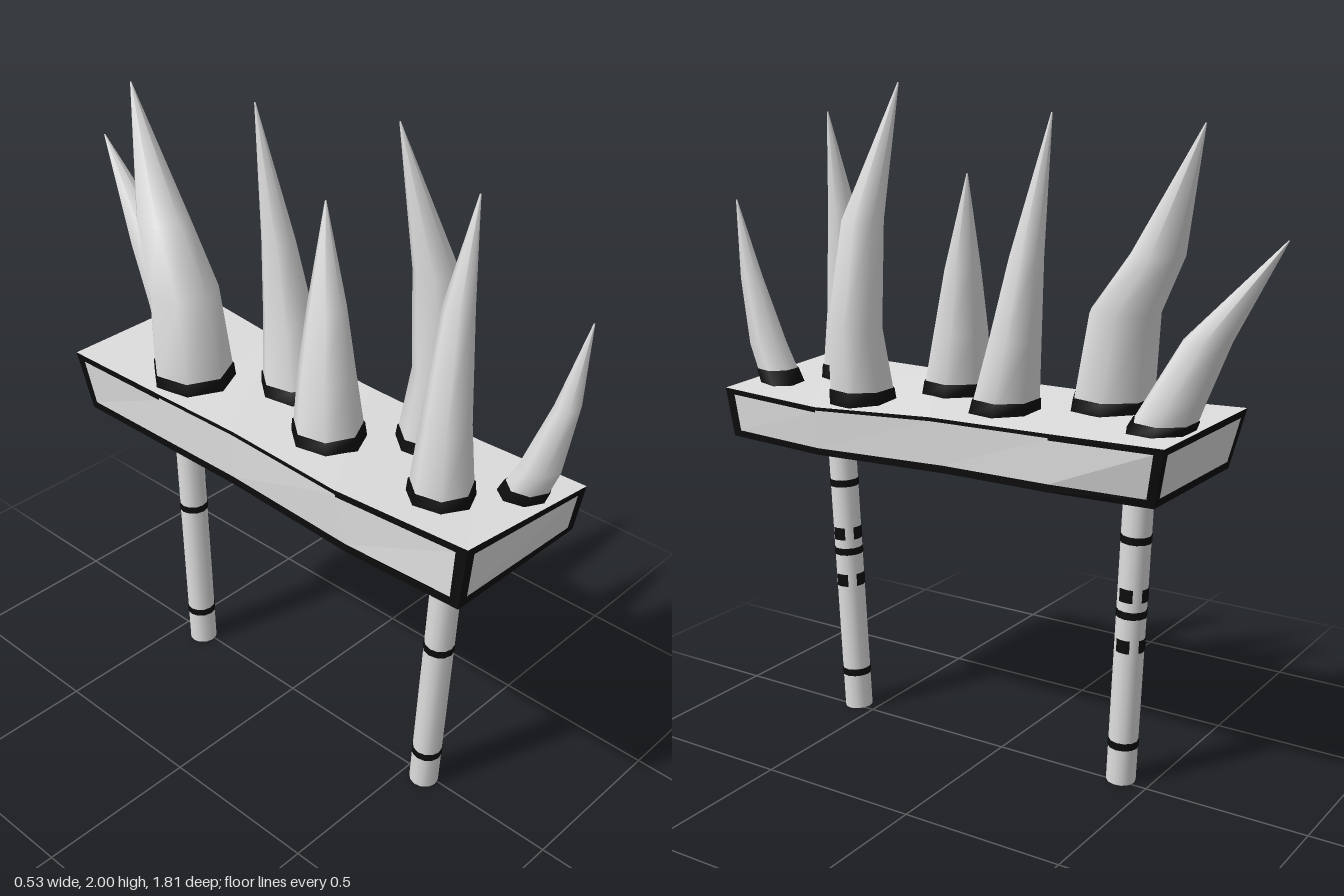
import * as THREE from 'three';

const bone = new THREE.MeshStandardMaterial({ color: 0xdedede });
bone.name = 'pale grey';
const ink = new THREE.MeshStandardMaterial({ color: 0x0c0c0c });
ink.name = 'black';
bone.side = ink.side = THREE.DoubleSide;

function mesh(geometry, material, name) {
  const m = new THREE.Mesh(geometry, material);
  m.name = name;
  return m;
}

// Smooth skin through horizontal rings, each ring [x, y, z, radius]
function loft(rings, sides = 7) {
  const pos = [], idx = [];
  for (const [x, y, z, r] of rings) {
    for (let i = 0; i < sides; i++) {
      const a = (i / sides) * Math.PI * 2;
      pos.push(x + Math.sin(a) * r, y, z + Math.cos(a) * r);
    }
  }
  for (let k = 0; k < rings.length - 1; k++) {
    for (let i = 0; i < sides; i++) {
      const a = k * sides + i, b = k * sides + ((i + 1) % sides);
      idx.push(a, b, b + sides, a, b + sides, a + sides);
    }
  }
  const g = new THREE.BufferGeometry();
  g.setAttribute('position', new THREE.Float32BufferAttribute(pos, 3));
  g.setIndex(idx);
  g.computeVertexNormals();
  return g;
}

// Curved spike with a dark band round its foot
function spike(rings) {
  const group = new THREE.Group();
  group.name = 'spike';
  group.add(mesh(loft(rings), bone, 'spikeBody'));
  const [a, b] = rings;
  const at = (y, grow) => {
    const t = (y - a[1]) / (b[1] - a[1]);
    return a.map((v, i) => v + (b[i] - v) * t + (i === 3 ? grow : 0));
  };
  const y = a[1];
  group.add(mesh(loft([at(y, 0.004), at(y + 0.045, 0.004), at(y + 0.046, -0.004)]), ink, 'spikeFootBand'));
  return group;
}

// Uneven block: wall panels carry dark borders along every edge
function block() {
  const V = (x, y, z) => new THREE.Vector3(x, y, z);
  // Cross-sections from front to back: right bottom, left bottom, left top, right top
  const sections = [
    [V(-0.25, 0.925, 0.82), V(0.235, 0.93, 0.83), V(0.24, 1.08, 0.855), V(-0.24, 1.11, 0.83)],
    [V(-0.255, 0.915, 0.45), V(0.235, 0.917, 0.5), V(0.245, 1.065, 0.5), V(-0.262, 1.1, 0.4)],
    [V(-0.245, 0.925, 0.0), V(0.22, 0.925, 0.05), V(0.228, 1.085, 0.1), V(-0.245, 1.1, 0.0)],
    [V(-0.25, 0.93, -0.3), V(0.235, 0.93, -0.3), V(0.24, 1.095, -0.3), V(-0.25, 1.1, -0.3)],
    [V(-0.25, 0.93, -0.61), V(0.215, 0.93, -0.61), V(0.265, 1.11, -0.66), V(-0.265, 1.11, -0.655)],
  ];
  const pale = [], dark = [];
  const quad = (list, a, b, c, d) => {
    for (const p of [a, b, c, a, c, d]) list.push(p.x, p.y, p.z);
  };
  // Wall from bottom a-b to top d-c; start and end give the widths of the upright borders
  const wall = (a, b, c, d, start, end, top) => {
    const len = a.distanceTo(b);
    const us = [0, start / len, 1 - end / len, 1], vs = [0, 0.14, 1 - top, 1];
    const p = (u, v) => a.clone().lerp(b, u).lerp(d.clone().lerp(c, u), v);
    for (let i = 0; i < 3; i++) {
      for (let j = 0; j < 3; j++) {
        if (us[i + 1] - us[i] < 1e-6) continue;
        quad(i === 1 && j === 1 ? pale : dark,
          p(us[i], vs[j]), p(us[i + 1], vs[j]), p(us[i + 1], vs[j + 1]), p(us[i], vs[j + 1]));
      }
    }
  };
  const last = sections.length - 1;
  for (let k = 0; k < last; k++) {
    const f = sections[k], r = sections[k + 1];
    const first = k === 0 ? 0.03 : 0, end = k === last - 1 ? 0.025 : 0;
    const top = k === 0 || k === last - 1 ? 0.11 : 0.07;
    wall(f[1], r[1], r[2], f[2], first, end, top);
    wall(r[0], f[0], f[3], r[3], end, first, top);
    quad(pale, f[3], f[2], r[2], r[3]);
    quad(pale, f[1], f[0], r[0], r[1]);
  }
  const [f, r] = [sections[0], sections[last]];
  wall(f[0], f[1], f[2], f[3], 0.03, 0.03, 0.13);
  wall(r[1], r[0], r[3], r[2], 0.025, 0.025, 0.13);
  const build = (list) => {
    const g = new THREE.BufferGeometry();
    g.setAttribute('position', new THREE.Float32BufferAttribute(list, 3));
    g.computeVertexNormals();
    return g;
  };
  const group = new THREE.Group();
  group.name = 'block';
  group.add(mesh(build(pale), bone, 'blockFaces'), mesh(build(dark), ink, 'blockBorders'));
  return group;
}

// Leaning leg with dark rings and small square marks
function leg(z, lean) {
  const group = new THREE.Group();
  group.name = 'leg';
  const R = 0.044;
  const shaft = mesh(new THREE.CylinderGeometry(R, R, 0.96, 12), bone, 'legShaft');
  shaft.position.y = 0.482;
  group.add(shaft);
  for (const y of [0.125, 0.535, 0.76]) {
    const ring = mesh(new THREE.CylinderGeometry(R + 0.002, R + 0.002, 0.022, 12), ink, 'legRing');
    ring.position.y = y;
    group.add(ring);
  }
  for (const y of [0.44, 0.595]) {
    for (const angle of [Math.PI / 2, Math.PI]) {
      const mark = mesh(new THREE.CylinderGeometry(R + 0.002, R + 0.002, 0.04, 4, 1, true,
        angle - 0.48, 0.96), ink, 'legMark');
      mark.position.y = y;
      group.add(mark);
    }
  }
  group.position.set(-0.013, 0, z);
  group.rotation.x = lean;
  return group;
}

export function createModel() {
  const model = new THREE.Group();
  model.name = 'spikedBlockOnLegs';
  model.add(block(), leg(0.565, 0.049), leg(-0.41, -0.043));

  // Spikes from front to back, rings [x, y, z, radius]
  const spikes = [
    [[0.085, 1.08, 0.755, 0.065], [0.085, 1.2, 0.81, 0.058], [0.085, 1.4, 0.868, 0.035], [0.1, 1.64, 0.905, 0.002]],
    [[-0.08, 1.085, 0.615, 0.092], [-0.07, 1.3, 0.61, 0.07], [-0.03, 1.62, 0.597, 0.043], [0.02, 1.91, 0.602, 0.002]],
    [[0.125, 1.07, 0.41, 0.098], [0.145, 1.3, 0.42, 0.082], [0.11, 1.61, 0.41, 0.063], [0.07, 2.0, 0.303, 0.002]],
    [[-0.07, 1.085, 0.205, 0.106], [-0.055, 1.28, 0.18, 0.083], [-0.03, 1.47, 0.155, 0.055], [0.01, 1.75, 0.11, 0.002]],
    [[0.06, 1.085, -0.045, 0.103], [0.075, 1.3, -0.09, 0.077], [0.07, 1.54, -0.125, 0.05], [0.055, 1.93, -0.195, 0.002]],
    [[-0.105, 1.09, -0.305, 0.122], [-0.105, 1.38, -0.34, 0.105], [-0.07, 1.55, -0.455, 0.08], [-0.03, 1.91, -0.608, 0.002]],
    [[0.08, 1.09, -0.545, 0.095], [0.08, 1.2, -0.6, 0.083], [0.075, 1.36, -0.68, 0.067], [0.1, 1.64, -0.903, 0.002]],
  ];
  for (const rings of spikes) model.add(spike(rings));
  return model;
}
